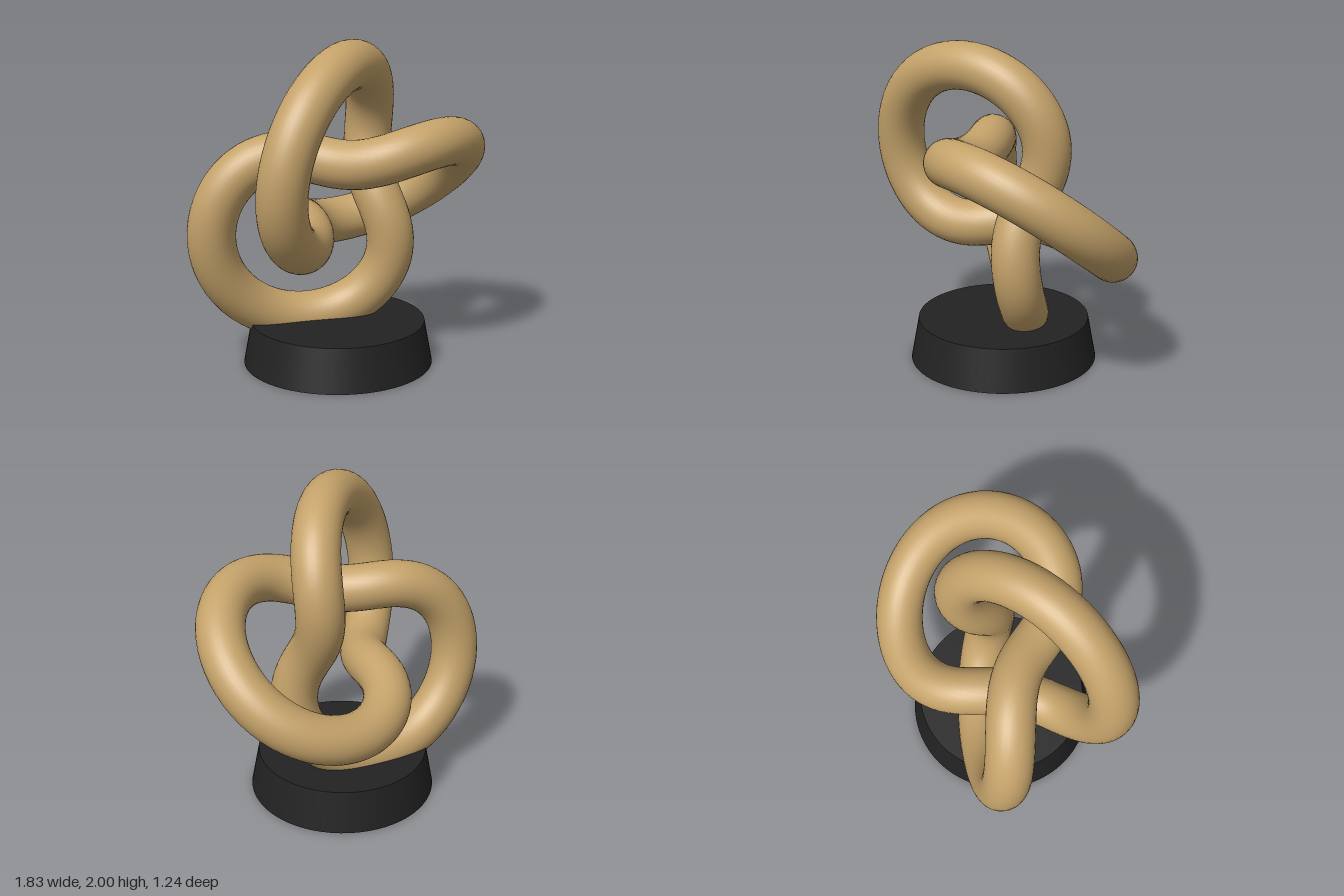
import * as THREE from 'three';

export function createModel() {
  const group = new THREE.Group();

  // Trefoil loop, tipped backwards and sunk a little into its stand
  const knot = new THREE.Mesh(
    new THREE.TorusKnotGeometry(0.576, 0.145, 200, 32, 2, 3),
    new THREE.MeshStandardMaterial({ color: 0xc4a26a })
  );
  knot.name = 'knot';
  knot.rotation.x = 0.45;
  knot.position.set(-0.095, 1.057, 0);
  group.add(knot);

  // Tapered round stand
  const height = 0.265;
  const base = new THREE.Mesh(
    new THREE.CylinderGeometry(0.528, 0.577, height, 64),
    new THREE.MeshStandardMaterial({ color: 0x222222 })
  );
  base.name = 'base';
  base.position.set(-0.095, height / 2, 0);
  group.add(base);

  return group;
}
